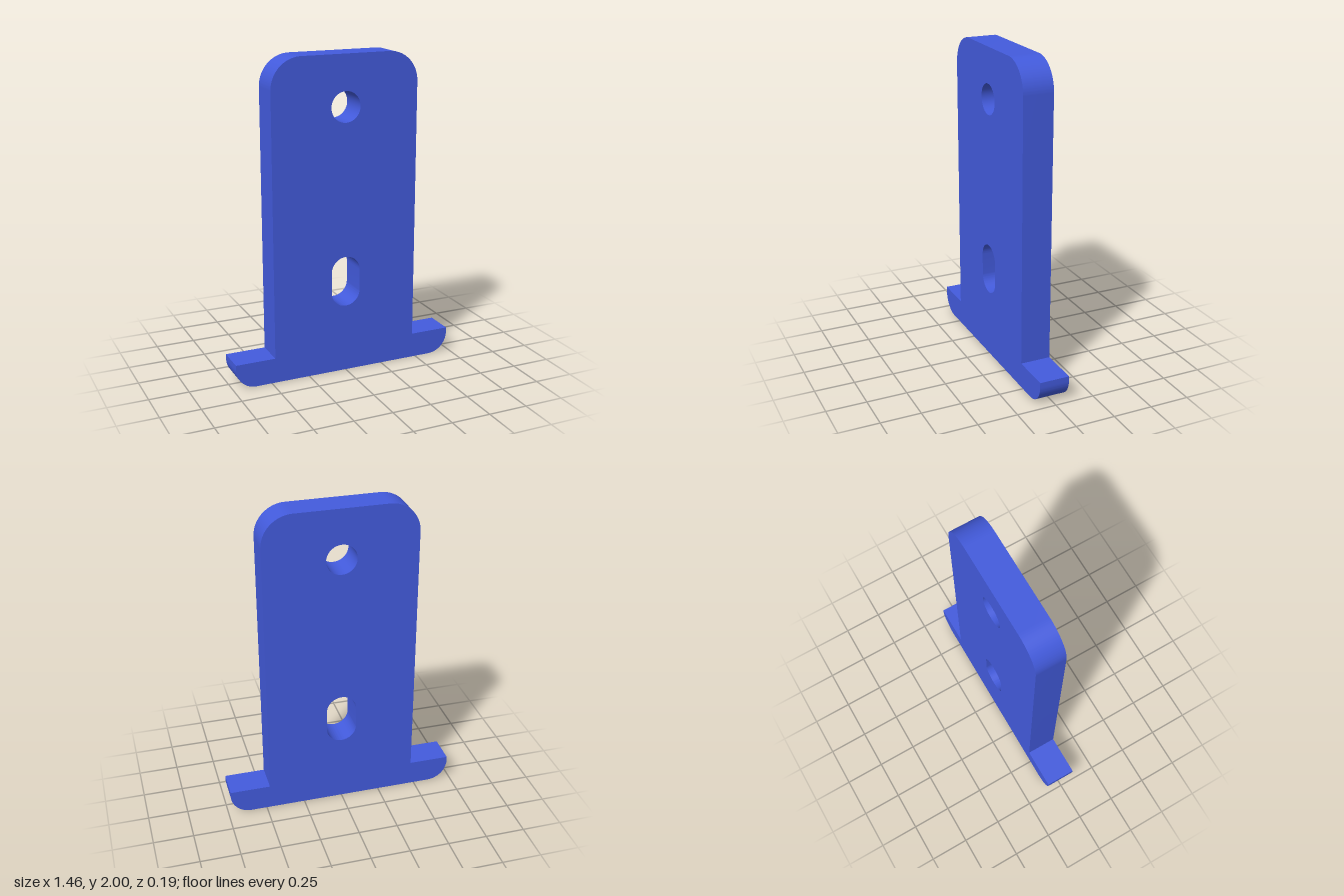
import * as THREE from 'three';
import { toCreasedNormals } from 'three/addons/utils/BufferGeometryUtils.js';

const DEPTH = 0.19;
const HALF_PLATE = 0.475, HALF_FOOT = 0.73;
const HEIGHT = 2, FOOT_HEIGHT = 0.16;
const TOP_RADIUS = 0.19, FOOT_RADIUS = 0.13, HOLE_RADIUS = 0.095;

// Upright plate with rounded top corners on a wider foot with rounded lower corners
function plateOutline() {
  const s = new THREE.Shape();
  s.moveTo(-HALF_FOOT + FOOT_RADIUS, 0);
  s.lineTo(HALF_FOOT - FOOT_RADIUS, 0);
  s.absarc(HALF_FOOT - FOOT_RADIUS, FOOT_RADIUS, FOOT_RADIUS, -Math.PI / 2, 0, false);
  s.lineTo(HALF_FOOT, FOOT_HEIGHT);
  s.lineTo(HALF_PLATE, FOOT_HEIGHT);
  s.lineTo(HALF_PLATE, HEIGHT - TOP_RADIUS);
  s.absarc(HALF_PLATE - TOP_RADIUS, HEIGHT - TOP_RADIUS, TOP_RADIUS, 0, Math.PI / 2, false);
  s.lineTo(-HALF_PLATE + TOP_RADIUS, HEIGHT);
  s.absarc(-HALF_PLATE + TOP_RADIUS, HEIGHT - TOP_RADIUS, TOP_RADIUS, Math.PI / 2, Math.PI, false);
  s.lineTo(-HALF_PLATE, FOOT_HEIGHT);
  s.lineTo(-HALF_FOOT, FOOT_HEIGHT);
  s.lineTo(-HALF_FOOT, FOOT_RADIUS);
  s.absarc(-HALF_FOOT + FOOT_RADIUS, FOOT_RADIUS, FOOT_RADIUS, Math.PI, Math.PI * 1.5, false);
  return s;
}

// Round hole
function roundHole(y) {
  const p = new THREE.Path();
  p.absarc(0, y, HOLE_RADIUS, 0, Math.PI * 2, true);
  return p;
}

// Vertical slot between two arc centres
function slotHole(low, high) {
  const p = new THREE.Path();
  p.absarc(0, low, HOLE_RADIUS, 0, -Math.PI, true);
  p.lineTo(-HOLE_RADIUS, high);
  p.absarc(0, high, HOLE_RADIUS, Math.PI, 0, true);
  p.closePath();
  return p;
}

export function createModel() {
  const group = new THREE.Group();
  group.name = 'mountingPlate';

  const shape = plateOutline();
  shape.holes.push(roundHole(1.685), slotHole(0.527, 0.657));

  const extruded = new THREE.ExtrudeGeometry(shape, { depth: DEPTH, bevelEnabled: false, curveSegments: 24 });
  extruded.translate(0, 0, -DEPTH / 2);

  const plate = new THREE.Mesh(
    toCreasedNormals(extruded, Math.PI / 6),
    new THREE.MeshStandardMaterial({ color: 0x435bdd })
  );
  plate.name = 'footedPlate';
  group.add(plate);
  return group;
}
